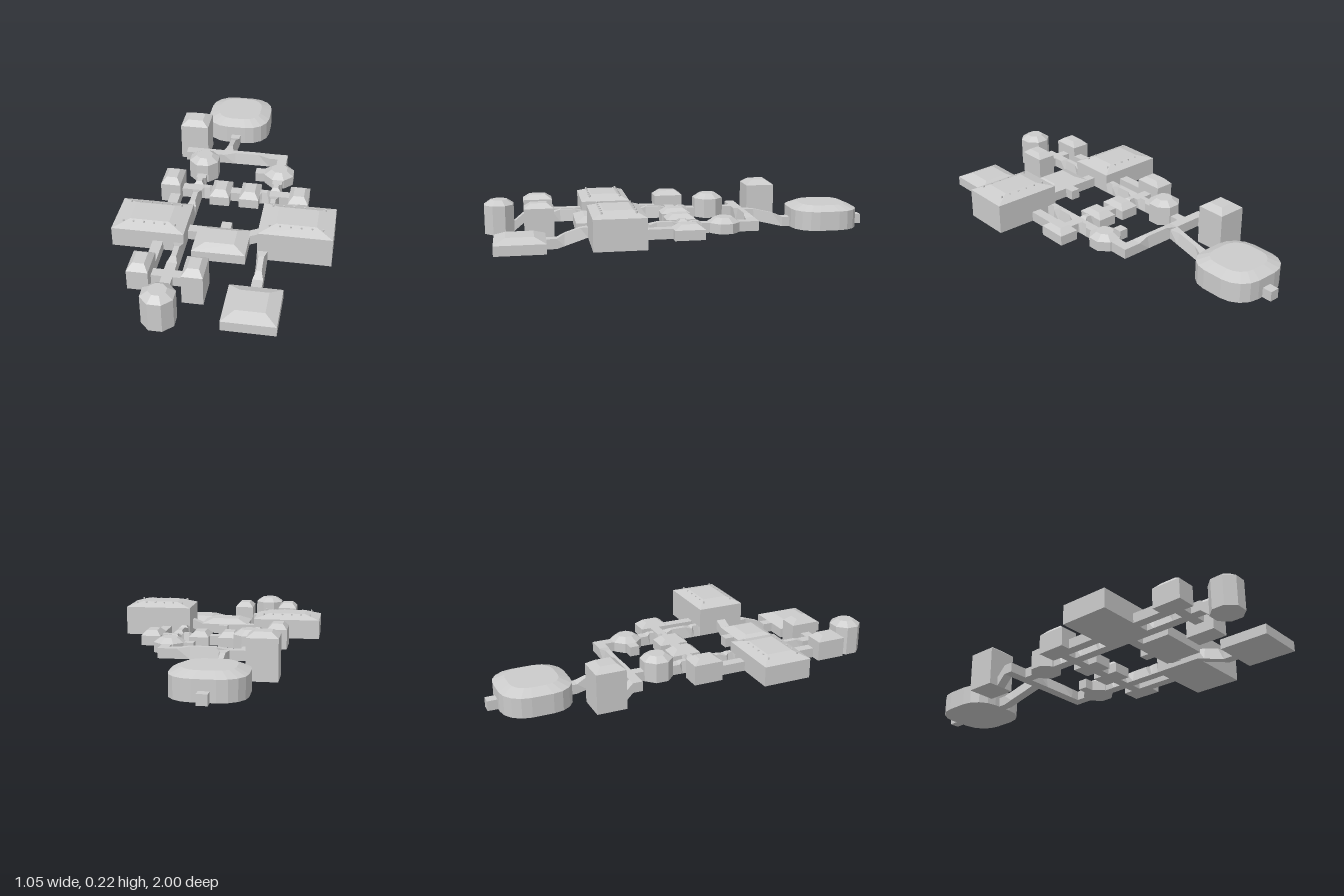
import * as THREE from 'three';

const material = new THREE.MeshStandardMaterial({ color: 0xcccccc, flatShading: true });

// Closed skin over matching loops, each wound counter-clockwise seen from the end
function loft(loops) {
  const n = loops[0].length, last = (loops.length - 1) * n, index = [];
  for (let i = 0; i < last; i += n) {
    for (let k = 0; k < n; k++) {
      const a = i + k, b = i + (k + 1) % n;
      index.push(a, b, b + n, a, b + n, a + n);
    }
  }
  for (let k = 1; k < n - 1; k++) {
    index.push(0, k + 1, k, last, last + k, last + k + 1);
  }
  const indexed = new THREE.BufferGeometry();
  indexed.setAttribute('position', new THREE.Float32BufferAttribute(loops.flat(2), 3));
  indexed.setIndex(index);
  const geometry = indexed.toNonIndexed();
  geometry.computeVertexNormals();
  return geometry;
}

// Plan outlines, half size 1
const square = [[1, 1], [1, -1], [-1, -1], [-1, 1]];
const c = Math.tan(Math.PI / 8);
const octagon = [[1, c], [1, -c], [c, -1], [-c, -1], [-1, -c], [-1, c], [-c, 1], [c, 1]];
const roundedSquare = [];
for (let q = 0; q < 4; q++) {
  const mid = (q + 0.5) * Math.PI / 2;
  for (let i = 0; i <= 4; i++) {
    const t = (q + i / 4) * Math.PI / 2;
    roundedSquare.push([
      0.3 * Math.sign(Math.cos(mid)) + 0.7 * Math.cos(t),
      -0.3 * Math.sign(Math.sin(mid)) - 0.7 * Math.sin(t)]);
  }
}

export function createModel() {
  const model = new THREE.Group();
  const add = (name, geometry) => {
    const mesh = new THREE.Mesh(geometry, material);
    mesh.name = name;
    model.add(mesh);
    return mesh;
  };

  // Upright walls with a low sloped roof ending in a flat top
  function room(name, outline, [x0, x1], [z0, z1], base, eave, taper = 0.54) {
    const ring = (y, s) => outline.map(([u, v]) => [
      (x0 + x1) / 2 + u * s * (x1 - x0) / 2, y, (z0 + z1) / 2 + v * s * (z1 - z0) / 2]);
    add(name, loft([ring(base, 1), ring(eave, 1), ring(eave + 0.025, taper)]));
  }

  // Passage between two floor points; pinched ones narrow and rise in the middle
  function passage(name, from, to, pinched = false) {
    const a = new THREE.Vector3(...from), b = new THREE.Vector3(...to);
    const side = new THREE.Vector3(b.z - a.z, 0, a.x - b.x).normalize();
    const section = (t, top, height) => {
      const p = a.clone().lerp(b, t);
      return [[-0.025, 0], [0.025, 0], [top, height], [-top, height]].map(([s, h]) =>
        [p.x + side.x * s, p.y + h, p.z + side.z * s]);
    };
    const loops = [section(0, 0.025, 0.05), section(1, 0.025, 0.05)];
    if (pinched) loops.splice(1, 0, section(0.25, 0.013, 0.06), section(0.75, 0.013, 0.06));
    add(name, loft(loops));
  }

  // Halls
  room('leftHall', square, [0.175, 0.525], [0.25, 0.5], 0.05, 0.2);
  room('rightHall', square, [-0.525, -0.175], [0.25, 0.5], 0.05, 0.15);
  room('centreHall', square, [-0.13, 0.125], [0.35, 0.55], 0.05, 0.1);
  room('frontHall', square, [0.075, 0.325], [0.7, 0.95], 0, 0.05);
  room('roundHall', roundedSquare, [-0.275, 0.075], [-0.95, -0.6], 0, 0.1, 0.68);
  room('backTower', square, [-0.375, -0.225], [-0.55, -0.4], 0, 0.2);

  // Octagonal rooms
  room('frontOctagon', octagon, [-0.275, -0.125], [0.85, 1], 0, 0.15);
  room('rightOctagon', octagon, [-0.275, -0.125], [-0.25, -0.1], 0.05, 0.15);
  room('leftOctagon', octagon, [0.125, 0.275], [-0.25, -0.1], 0.05, 0.1);

  // Small cells in two rows
  [[-0.375, 0.15], [-0.125, 0.1], [0.025, 0.1], [0.275, 0.1]].forEach(([x, eave]) =>
    room('middleCell', square, [x, x + 0.1], [-0.05, 0.1], 0.05, eave));
  room('frontCell', square, [-0.375, -0.275], [0.65, 0.8], 0.05, 0.15);
  room('frontCell', square, [-0.125, -0.025], [0.65, 0.8], 0, 0.15);

  // Two rows of small posts through each hall roof
  const postGeometry = new THREE.CylinderGeometry(0.005, 0.005, 0.03, 6);
  for (const [x, top] of [[0.35, 0.225], [-0.35, 0.175]]) {
    for (let i = 0; i < 6; i++) {
      for (const z of [0.295, 0.455]) {
        add('roofPost', postGeometry).position.set(x + (i - 2.5) * 0.05, top - 0.015, z);
      }
    }
  }

  // Two long corridors, mirrored
  const f = 0.05;
  for (const x of [-0.2, 0.2]) {
    passage('backCorridor', [x, f, -0.3], [x, f, -0.24]);
    passage('corridorLink', [x, f, -0.11], [x, f, -0.06]);
    passage('corridorArch', [x, f, -0.06], [x, f, 0], true);
    passage('corridorCrossing', [x, f, 0], [x, f, 0.05]);
    passage('corridorArch', [x, f, 0.05], [x, f, 0.2], true);
    passage('corridorArch', [x, f, 0.2], [x, f, 0.25], true);
    for (const s of [-1, 1]) {
      passage('cellDoorway', [x + s * 0.025, f, 0.025], [x + s * 0.077, f, 0.025], x * s < 0);
    }
    passage('outerCorridor', [1.5 * x, f, 0.09], [1.5 * x, f, 0.26]);
  }
  passage('cellLink', [-0.03, f, 0.025], [0.03, f, 0.025]);
  passage('octagonAlcove', [0.075, f, -0.175], [0.13, f, -0.175]);

  // Cross corridor at the back, with ways to the tower and the round hall
  passage('crossCorridor', [-0.325, f, -0.325], [-0.12, f, -0.325]);
  passage('crossArch', [-0.12, f, -0.325], [0.13, f, -0.325], true);
  passage('crossCorridor', [0.13, f, -0.325], [0.225, f, -0.325]);
  passage('towerRamp', [-0.3, 0, -0.4], [-0.3, f, -0.35]);
  passage('roundHallRamp', [-0.1, 0, -0.56], [-0.1, f, -0.35], true);
  passage('roundHallDoorway', [-0.1, 0, -0.61], [-0.1, 0, -0.56]);
  passage('backEntrance', [-0.1, 0, -1], [-0.1, 0, -0.94]);

  // Centre hall links
  passage('hallLink', [-0.18, f, 0.375], [-0.12, f, 0.375]);
  passage('hallRamp', [0.12, f, 0.375], [0.18, 0.075, 0.375]);
  passage('hallAlcove', [0, f, 0.3], [0, f, 0.36]);

  // Front corridors
  passage('frontRamp', [0.2, f, 0.5], [0.2, 0, 0.65], true);
  passage('frontHallDoorway', [0.2, 0, 0.65], [0.2, 0, 0.71]);
  passage('frontArch', [-0.2, f, 0.5], [-0.2, f, 0.65], true);
  passage('frontCorridor', [-0.2, f, 0.65], [-0.2, f, 0.8]);
  passage('frontOctagonRamp', [-0.2, f, 0.8], [-0.2, 0, 0.86]);
  passage('frontCellDoorway', [-0.28, f, 0.725], [-0.22, f, 0.725]);
  passage('frontCellDoorway', [-0.18, f, 0.725], [-0.12, f, 0.725]);
  passage('frontOuterCorridor', [-0.3, f, 0.49], [-0.3, f, 0.66]);

  return model;
}
